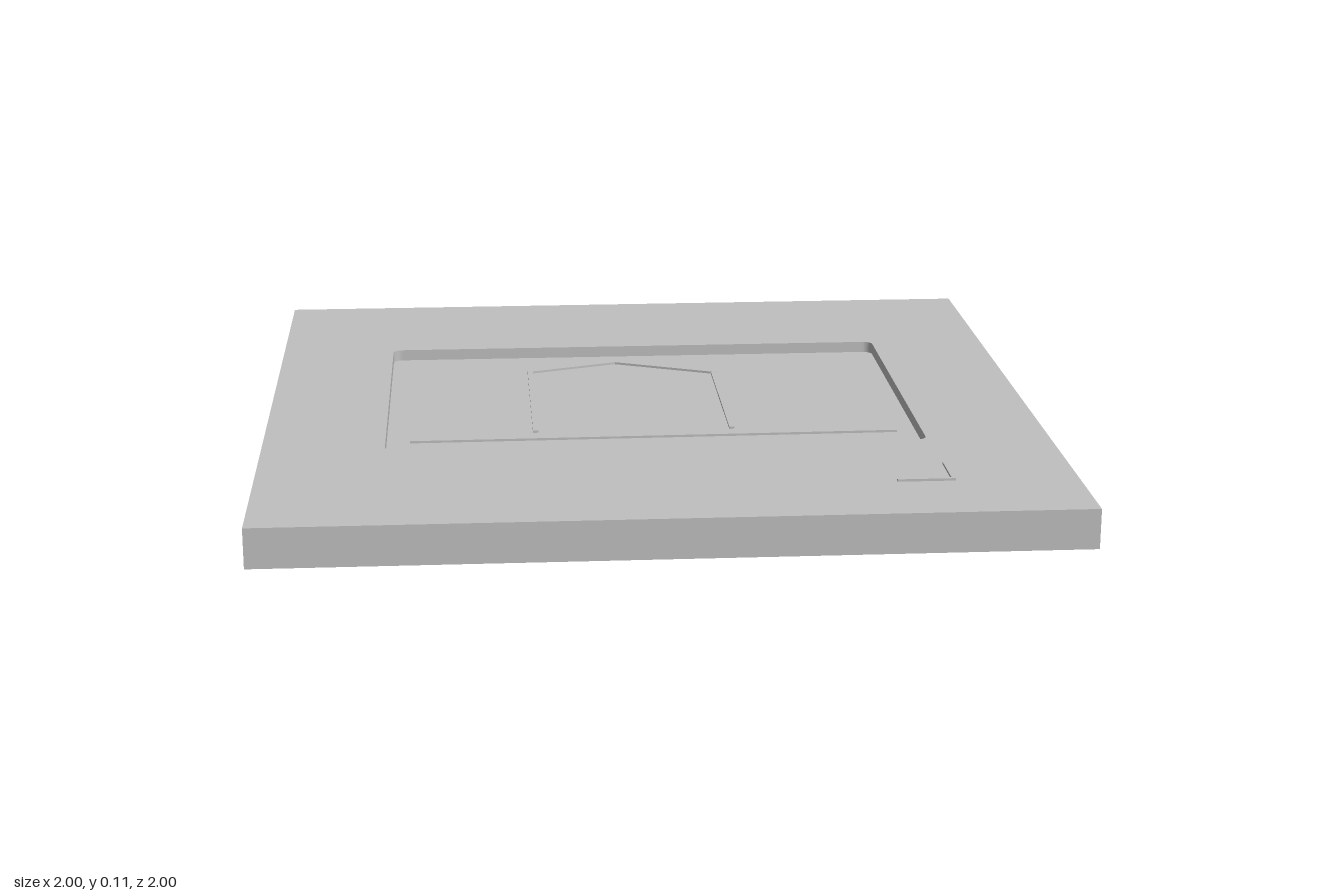
import * as THREE from 'three';

const FRAME_TOP = 0.1;
const PANEL_BOTTOM = 0.04;
const PANEL_TOP = 0.07;
const STROKE = 0.006; // raised height of the drawn lines

// Trace a rounded rectangle; shape y is -z once laid flat.
function roundedRect(path, x0, y0, x1, y1, r) {
  path.moveTo(x0 + r, y0);
  path.lineTo(x1 - r, y0);
  path.absarc(x1 - r, y0 + r, r, -Math.PI / 2, 0);
  path.lineTo(x1, y1 - r);
  path.absarc(x1 - r, y1 - r, r, 0, Math.PI / 2);
  path.lineTo(x0 + r, y1);
  path.absarc(x0 + r, y1 - r, r, Math.PI / 2, Math.PI);
  path.lineTo(x0, y0 + r);
  path.absarc(x0 + r, y0 + r, r, Math.PI, Math.PI * 1.5);
  return path;
}

// Extrude a flat shape upwards from height y.
function slab(shape, y, depth) {
  const g = new THREE.ExtrudeGeometry(shape, { depth, bevelEnabled: false, curveSegments: 6 });
  return g.rotateX(-Math.PI / 2).translate(0, y, 0);
}

export function createModel() {
  const model = new THREE.Group();
  const grey = new THREE.MeshStandardMaterial({ color: 0xc0c0c0 });
  grey.name = 'plain grey';

  function add(name, geometry, parent = model) {
    const mesh = new THREE.Mesh(geometry, grey);
    mesh.name = name;
    parent.add(mesh);
  }

  // Thin bar between two [x, z] points
  function stroke(name, a, b, width, y, parent) {
    const dx = b[0] - a[0], dz = b[1] - a[1];
    const g = new THREE.BoxGeometry(Math.hypot(dx, dz), STROKE, width);
    g.rotateY(-Math.atan2(dz, dx));
    g.translate((a[0] + b[0]) / 2, y + STROKE / 2, (a[1] + b[1]) / 2);
    add(name, g, parent);
  }

  // Square board with a rounded window
  const board = new THREE.Shape([[-1, -1], [1, -1], [1, 1], [-1, 1]].map(p => new THREE.Vector2(...p)));
  board.holes.push(roundedRect(new THREE.Path(), -0.69, -0.43, 0.685, 0.515, 0.025));
  add('board', slab(board, 0, FRAME_TOP));

  // Panel set back inside the window
  const panel = roundedRect(new THREE.Shape(), -0.69, -0.43, 0.685, 0.515, 0.025);
  add('recessedPanel', slab(panel, PANEL_BOTTOM, PANEL_TOP - PANEL_BOTTOM));

  // House outline and ground line
  const house = new THREE.Group();
  house.name = 'houseOutline';
  model.add(house);
  stroke('rightWall', [-0.305, -0.355], [-0.305, 0.21], 0.014, PANEL_TOP, house);
  stroke('leftWall', [0.208, -0.315], [0.208, 0.21], 0.013, PANEL_TOP, house);
  stroke('rightRoof', [-0.31, -0.355], [-0.06, -0.44], 0.012, PANEL_TOP, house);
  stroke('leftRoof', [-0.063, -0.44], [0.215, -0.318], 0.012, PANEL_TOP, house);
  stroke('groundLine', [-0.63, 0.275], [0.635, 0.262], 0.011, PANEL_TOP, house);

  // Small corner mark on the board
  const mark = new THREE.Group();
  mark.name = 'cornerMark';
  model.add(mark);
  stroke('markFoot', [0.555, 0.762], [0.697, 0.762], 0.009, FRAME_TOP, mark);
  stroke('markPost', [0.692, 0.76], [0.692, 0.635], 0.009, FRAME_TOP, mark);

  return model;
}
